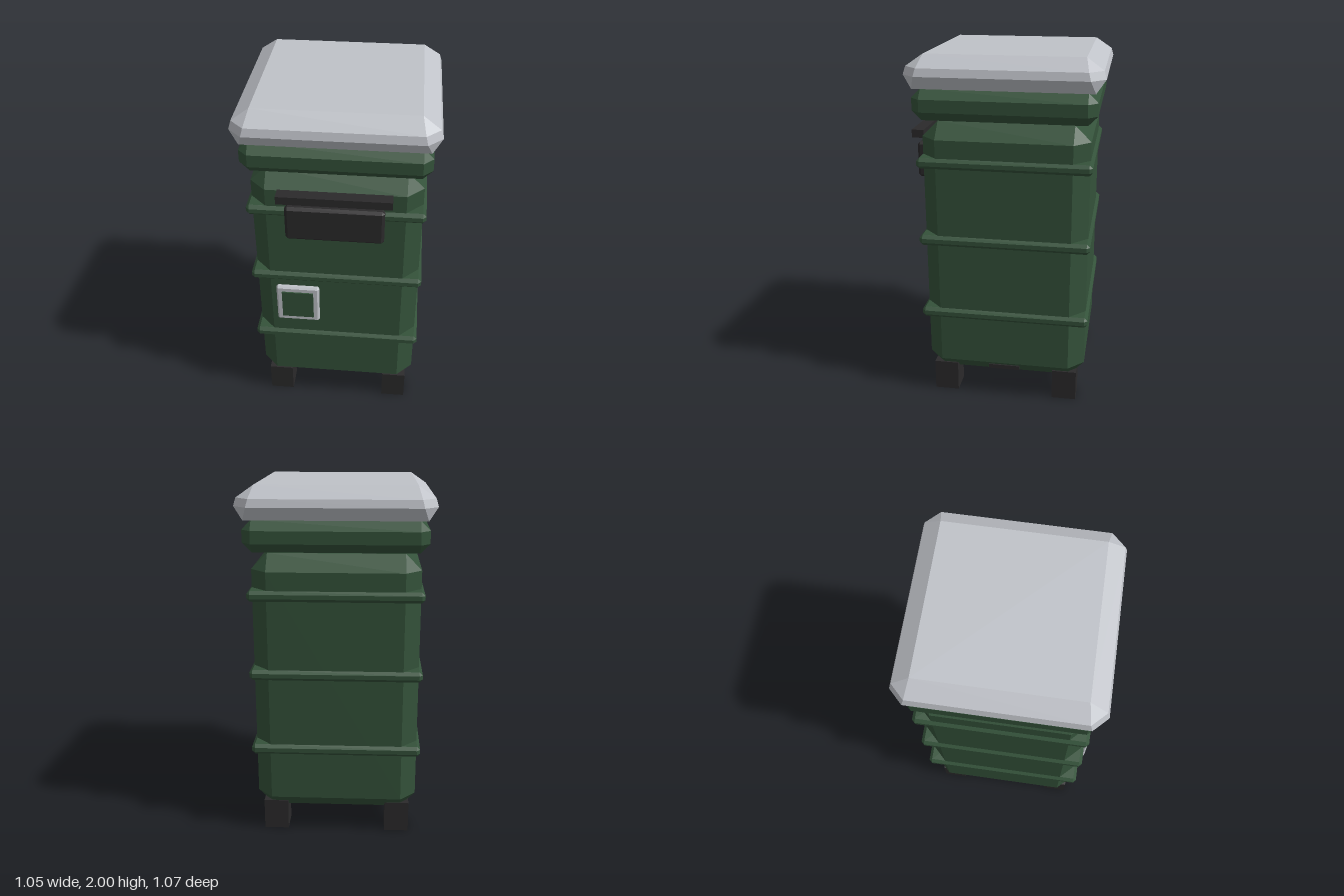
import * as THREE from 'three';

function material(name, color) {
  const m = new THREE.MeshStandardMaterial({ color });
  m.name = name;
  return m;
}

// Octagon ring: half width w, half depth d, corner cut c (0 gives a square)
function ring([y, w, d, c]) {
  return [
    [w, y, d - c], [w - c, y, d], [c - w, y, d], [-w, y, d - c],
    [-w, y, c - d], [c - w, y, -d], [w - c, y, -d], [w, y, c - d],
  ].map((p) => new THREE.Vector3(...p));
}

// Faceted solid skinned over rings listed from bottom to top
function ringSolid(rings) {
  const loops = rings.map(ring);
  const pos = [];
  const n = new THREE.Vector3();
  const tri = (a, b, c) => {
    n.subVectors(b, a).cross(new THREE.Vector3().subVectors(c, a));
    if (n.lengthSq() < 1e-14) return;
    for (const p of [a, b, c]) pos.push(p.x, p.y, p.z);
  };
  for (let k = 0; k < loops.length - 1; k++) {
    const lo = loops[k], hi = loops[k + 1];
    for (let i = 0; i < 8; i++) {
      const j = (i + 1) % 8;
      tri(lo[i], hi[i], hi[j]);
      tri(lo[i], hi[j], lo[j]);
    }
  }
  const bottom = loops[0], top = loops[loops.length - 1];
  for (let i = 1; i < 7; i++) {
    tri(bottom[0], bottom[i], bottom[i + 1]);
    tri(top[0], top[i + 1], top[i]);
  }
  const g = new THREE.BufferGeometry();
  g.setAttribute('position', new THREE.Float32BufferAttribute(pos, 3));
  g.computeVertexNormals();
  return g;
}

// Box with every edge chamfered by b, centred on the origin
function chamferBox(w, h, d, b) {
  const x = w / 2, y = h / 2, z = d / 2;
  return ringSolid([
    [-y, x - b, z - b, 0], [b - y, x, z, b], [y - b, x, z, b], [y, x - b, z - b, 0],
  ]);
}

export function createModel() {
  const green = material('dark green', 0x34523a);
  const grey = material('light grey', 0xbfc2c8);
  const black = material('charcoal', 0x2b2a2b);

  const model = new THREE.Group();
  model.name = 'bin';
  const Z = -0.008; // the bin sits slightly back so the hood stays within bounds

  const add = (name, geometry, mat, x, y, z) => {
    const mesh = new THREE.Mesh(geometry, mat);
    mesh.name = name;
    mesh.position.set(x, y, z);
    model.add(mesh);
  };

  // Main body, reinforcing ribs and collar
  add('body', chamferBox(0.918, 1.5, 0.918, 0.088), green, 0, 0.888, Z);
  for (const y of [0.53, 0.975, 1.42]) {
    add('rib', chamferBox(0.952, 0.06, 0.952, 0.018), green, 0, y, Z);
  }
  add('collar', chamferBox(0.984, 0.17, 0.984, 0.051), green, 0, 1.738, Z);

  // Lid, tapering towards the top
  add('lid', ringSolid([
    [1.825, 0.478, 0.478, 0],
    [1.895, 0.527, 0.527, 0.074],
    [1.937, 0.515, 0.515, 0.073],
    [2.0, 0.424, 0.424, 0],
  ]), grey, 0, 0, Z);

  // Feet and low side vents
  for (const sx of [-1, 1]) {
    for (const sz of [-1, 1]) {
      add('foot', new THREE.BoxGeometry(0.14, 0.18, 0.14), black, sx * 0.352, 0.09, sz * 0.352 + Z / 2);
    }
    add('sideVent', new THREE.BoxGeometry(0.05, 0.025, 0.18), black, sx * 0.42, 0.192, Z / 2);
  }

  // Front flap with hood above it
  add('hood', new THREE.BoxGeometry(0.6, 0.045, 0.068), black, 0, 1.542, 0.499);
  add('flap', chamferBox(0.524, 0.205, 0.052, 0.015), black, 0, 1.383, 0.491);

  // Framed plate on the front
  add('plateFrame', chamferBox(0.242, 0.245, 0.036, 0.01), grey, -0.214, 0.798, 0.475);
  add('plate', new THREE.BoxGeometry(0.178, 0.178, 0.009), green, -0.214, 0.8, 0.496);

  return model;
}
